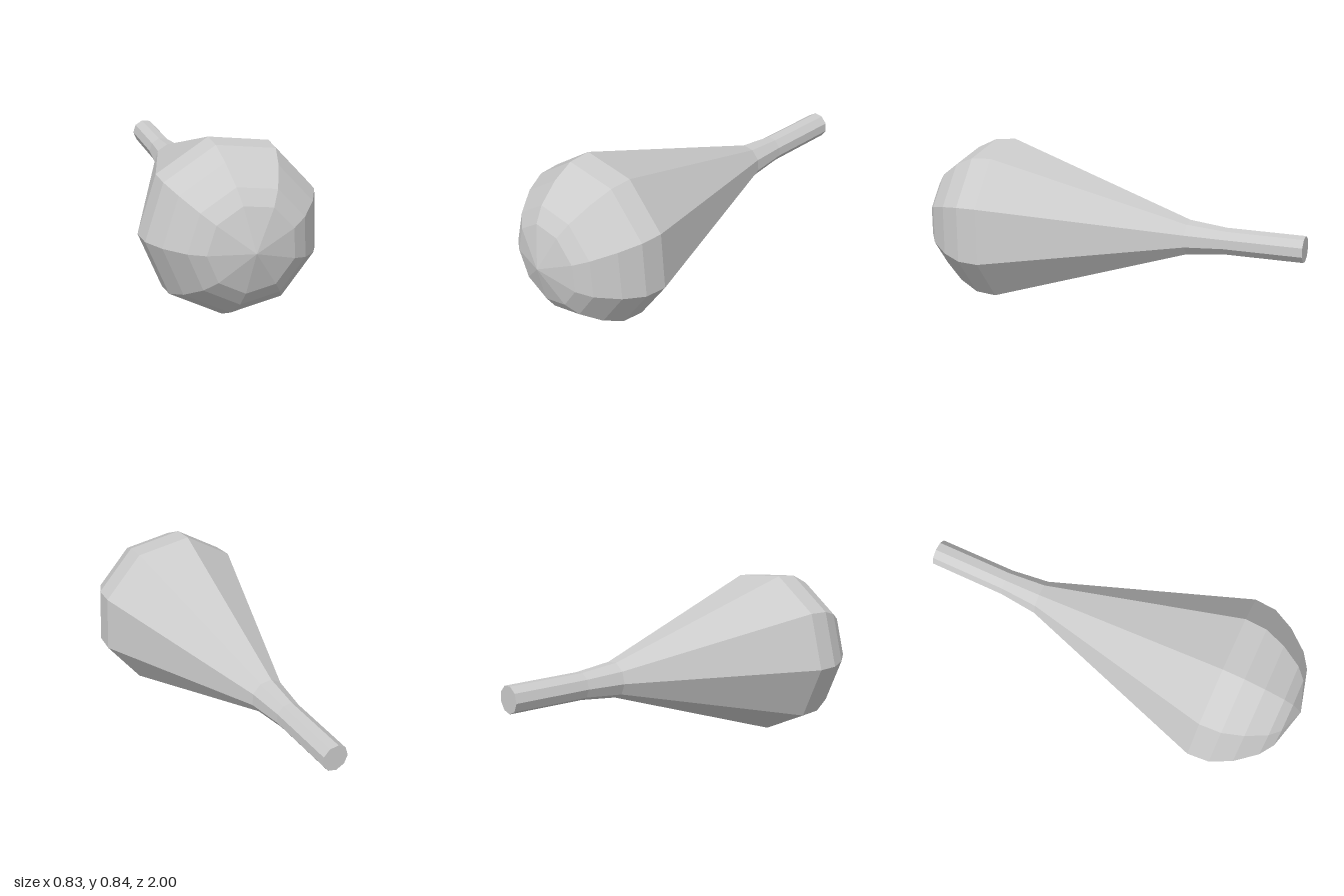
import * as THREE from 'three';

export function createModel() {
  const model = new THREE.Group();

  // Half profile [radius, distance behind the tip], from the stem end to the tip
  const profile = [
    [0, 2.02], [0.067, 2.02], [0.068, 1.624], [0.089, 1.43],
    [0.425, 0.428], [0.417, 0.317], [0.365, 0.211], [0.281, 0.107], [0.208, 0.057], [0, 0],
  ].map(([r, s]) => new THREE.Vector2(r, -s));

  // Nine-sided faceted bulb tapering into a thin stem
  const bulb = new THREE.Mesh(
    new THREE.LatheGeometry(profile, 9, THREE.MathUtils.degToRad(32.6)),
    new THREE.MeshStandardMaterial({ color: 0xcccccc, flatShading: true })
  );
  bulb.name = 'bulbWithStem';

  // Lay the axis down so the tip faces forward, slightly turned to the side
  const tip = new THREE.Vector3(0.08, 0.413, 1);
  const stemEnd = new THREE.Vector3(-0.27, 0.463, -0.99);
  const axis = tip.clone().sub(stemEnd).normalize();
  const side = new THREE.Vector3(0, 1, 0).cross(axis).normalize();
  const down = side.clone().cross(axis);
  bulb.quaternion.setFromRotationMatrix(new THREE.Matrix4().makeBasis(side, axis, down));
  bulb.position.copy(tip);

  model.add(bulb);
  return model;
}
